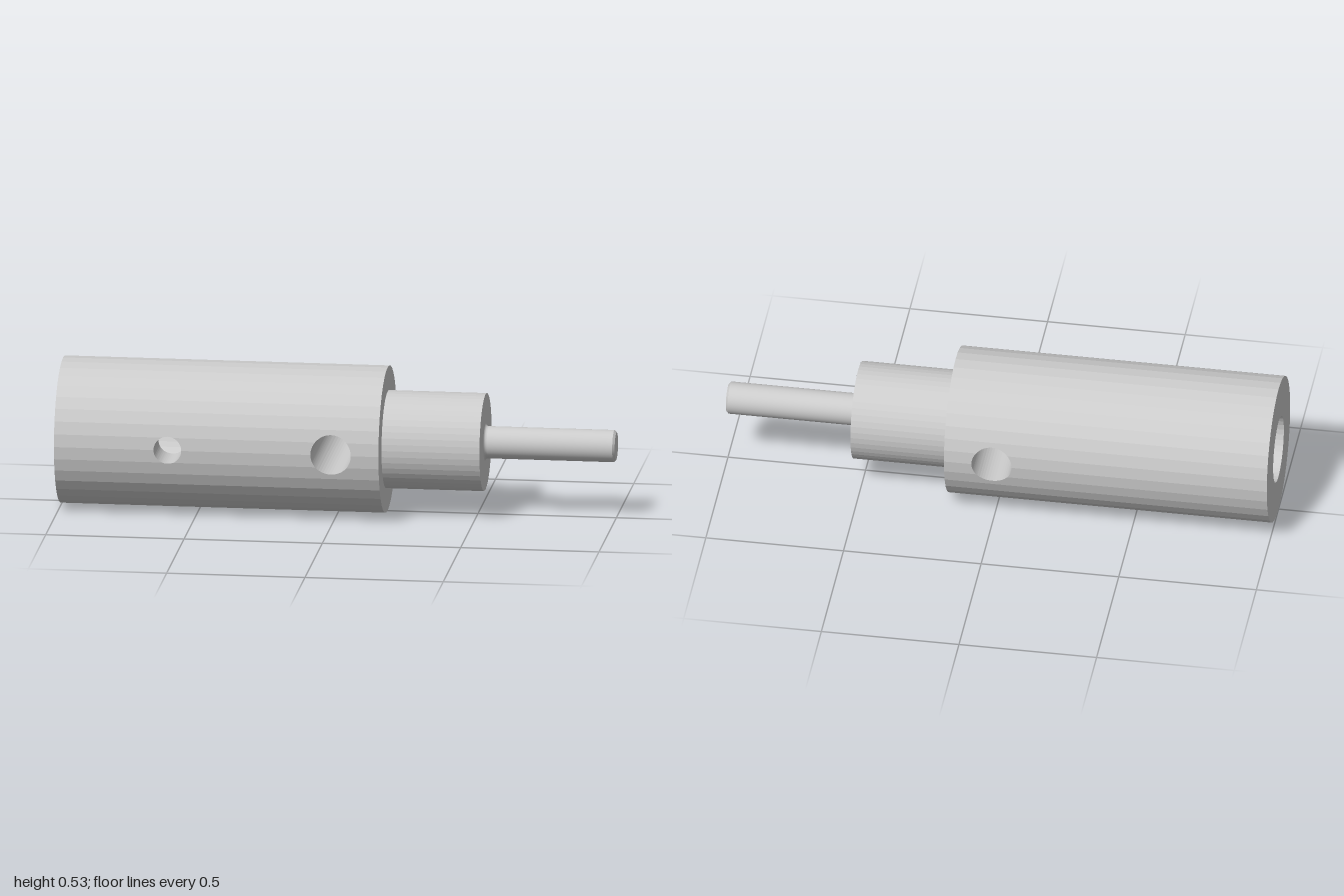
import * as THREE from 'three';

const R = 0.265, BORE = 0.121, BORE_END = -0.3, SHOULDER = 0.173, N = 36;
const flat = new THREE.MeshStandardMaterial({ color: 0xcccccc, flatShading: true, side: THREE.DoubleSide });
const smooth = new THREE.MeshStandardMaterial({ color: 0xcccccc, side: THREE.DoubleSide });

// Round holes running along z; side +1 is the front, -1 the back
const crossHoles = [
  { x: 0, r: 0.073, side: 1, floor: () => 0 },
  { x: 0, r: 0.073, side: -1, floor: () => 0 },
];
const screwHole = { x: -0.59, r: 0.05, side: 1, floor: y => facetZ(BORE, y) };

// Depth z of an N-sided tube of the given radius at height y
function facetZ(radius, y) {
  const step = 2 * Math.PI / N;
  const a = Math.asin(Math.max(-1, Math.min(1, y / radius)));
  const k = Math.min(N / 4 - 1, Math.floor(a / step + 1e-6));
  const y0 = radius * Math.sin(k * step), y1 = radius * Math.sin((k + 1) * step);
  const t = (y - y0) / (y1 - y0);
  return radius * ((1 - t) * Math.cos(k * step) + t * Math.cos((k + 1) * step));
}

const halfWidth = (hole, y) => Math.sqrt(Math.max(0, hole.r ** 2 - y ** 2));

function quadsToGeometry(quads) {
  const pos = [];
  for (const [a, b, c, d] of quads) pos.push(...a, ...b, ...c, ...a, ...c, ...d);
  const g = new THREE.BufferGeometry();
  g.setAttribute('position', new THREE.Float32BufferAttribute(pos, 3));
  g.computeVertexNormals();
  return g;
}

// Heights of the facet corners and of the points round each hole
function heights(radius, holes) {
  const ys = [];
  for (let k = -N / 4; k <= N / 4; k++) ys.push(radius * Math.sin(k * 2 * Math.PI / N));
  for (const h of holes)
    for (let i = -12; i <= 12; i++) ys.push(h.r * Math.sin(i * Math.PI / 24));
  ys.sort((a, b) => a - b);
  return ys.filter((y, i) => i === 0 || y - ys[i - 1] > 1e-6);
}

// Faceted tube wall along x, cut by the holes
function tubeWall(radius, x0, x1, holes, inward) {
  const ys = heights(radius, holes), quads = [];
  for (const side of [1, -1]) {
    const cuts = holes.filter(h => h.side === side).sort((a, b) => a.x - b.x);
    const edges = y => [x0, ...cuts.flatMap(h => [h.x - halfWidth(h, y), h.x + halfWidth(h, y)]), x1];
    for (let i = 0; i < ys.length - 1; i++) {
      const [ya, yb] = [ys[i], ys[i + 1]];
      const [za, zb] = [ya, yb].map(y => side * facetZ(radius, y));
      const ea = edges(ya), eb = edges(yb);
      for (let j = 0; j < ea.length; j += 2) {
        const q = [[ea[j], ya, za], [ea[j + 1], ya, za], [eb[j + 1], yb, zb], [eb[j], yb, zb]];
        quads.push((side > 0) !== inward ? q : q.reverse());
      }
    }
  }
  return quadsToGeometry(quads);
}

// Lining of one hole, from the outer wall to its floor
function holeLining(hole, others) {
  const ys = heights(R, others).filter(y => Math.abs(y) <= hole.r + 1e-6), quads = [];
  for (let i = 0; i < ys.length - 1; i++) {
    for (const edge of [1, -1]) {
      const pts = [ys[i], ys[i + 1]].map(y => {
        const x = hole.x + edge * halfWidth(hole, y);
        return [[x, y, hole.side * facetZ(R, y)], [x, y, hole.side * hole.floor(y)]];
      });
      const q = [pts[0][0], pts[1][0], pts[1][1], pts[0][1]];
      quads.push(edge * hole.side > 0 ? q : q.reverse());
    }
  }
  return quadsToGeometry(quads);
}

export function createModel() {
  const model = new THREE.Group();
  model.name = 'shaftAdapter';
  const add = (name, geometry, material = flat) => {
    const mesh = new THREE.Mesh(geometry, material);
    mesh.name = name;
    mesh.position.y = R;
    model.add(mesh);
    return mesh;
  };
  // Flat ring or disc at x, facing +x (dir 1) or -x (dir -1)
  const face = (name, inner, outer, x, dir) => {
    const g = inner > 0 ? new THREE.RingGeometry(inner, outer, N) : new THREE.CircleGeometry(outer, N);
    add(name, g.rotateY(dir * Math.PI / 2).translate(x, 0, 0));
  };

  // Main sleeve with its drilled holes
  const holes = [...crossHoles, screwHole];
  add('sleeve', tubeWall(R, -1, SHOULDER, holes, false));
  add('crossHoleFront', holeLining(crossHoles[0], holes));
  add('crossHoleBack', holeLining(crossHoles[1], holes));
  add('setScrewHole', holeLining(screwHole, holes));
  face('sleeveEnd', BORE, R, -1, -1);
  face('sleeveShoulder', 0.176, R, SHOULDER, 1);

  // Blind bore in the open end
  add('bore', tubeWall(BORE, -1, BORE_END, [screwHole], true));
  face('boreFloor', 0, BORE, BORE_END, -1);

  // Stepped collar
  const collar = new THREE.CylinderGeometry(0.176, 0.176, 0.527 - SHOULDER, 48, 1, true);
  add('collar', collar.rotateZ(-Math.PI / 2).translate((0.527 + SHOULDER) / 2, 0, 0));
  face('collarEnd', 0.05, 0.176, 0.527, 1);

  // Pin with a small root fillet and a chamfered tip
  const turned = points => new THREE.LatheGeometry(points.map(p => new THREE.Vector2(...p)), 40).rotateZ(-Math.PI / 2);
  add('pinRoot', turned([[0.067, 0.527], [0.062, 0.529], [0.059, 0.533], [0.058, 0.538]]), smooth);
  add('pin', turned([[0.058, 0.538], [0.058, 0.992]]), smooth);
  add('pinChamfer', turned([[0.058, 0.992], [0.05, 1]]), smooth);
  add('pinTip', turned([[0.05, 1], [0, 1]]), smooth);
  return model;
}
